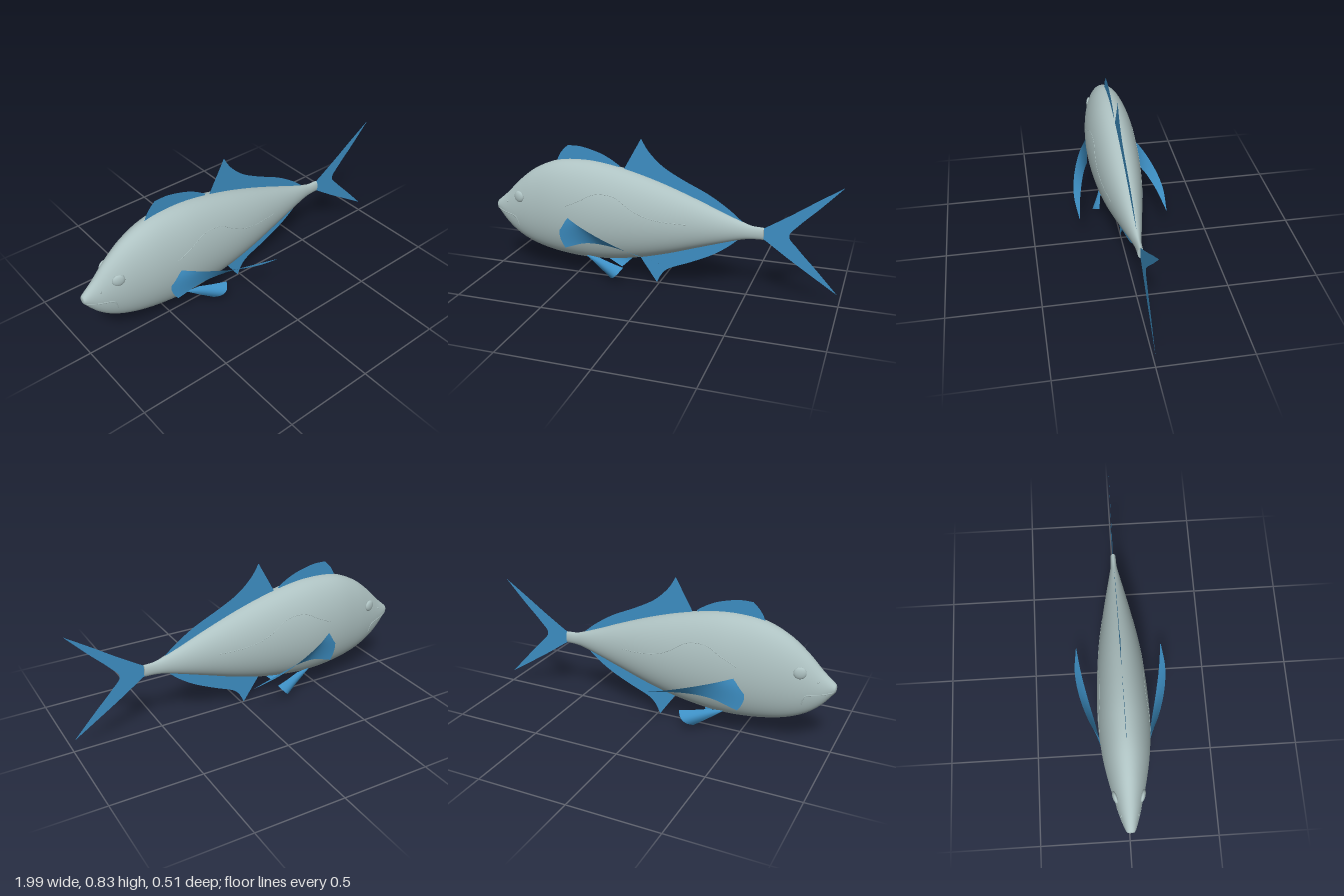
import * as THREE from 'three';

const bodyMat = new THREE.MeshStandardMaterial({ color: 0xaec2c2 });
bodyMat.name = 'silver skin';
const finMat = new THREE.MeshStandardMaterial({ color: 0x3d8fc4, side: THREE.DoubleSide });
finMat.name = 'blue fin';

// Body stations from snout to tail: x, top y, bottom y, half width
const stations = [
  [-1, 0.388, 0.362, 0.012], [-0.99, 0.402, 0.342, 0.024], [-0.925, 0.458, 0.262, 0.047],
  [-0.845, 0.538, 0.2, 0.071], [-0.74, 0.618, 0.155, 0.099], [-0.605, 0.675, 0.126, 0.125],
  [-0.45, 0.69, 0.113, 0.139], [-0.3, 0.677, 0.12, 0.139], [-0.12, 0.637, 0.148, 0.128],
  [0.05, 0.585, 0.192, 0.108], [0.22, 0.522, 0.247, 0.078], [0.36, 0.465, 0.292, 0.05],
  [0.46, 0.427, 0.322, 0.029], [0.52, 0.408, 0.333, 0.018], [0.585, 0.404, 0.336, 0.015],
];
const spline = (pts, type) => new THREE.CatmullRomCurve3(
  pts.map((p) => new THREE.Vector3(...p)), false, type);
const outline = spline(stations.map(([x, t, b]) => [x, t, b]), 'catmullrom');
const widths = spline(stations.map(([x, , , w]) => [x, w, 0]), 'catmullrom');

function section(t) {
  const o = outline.getPoint(t);
  return { x: o.x, cy: (o.y + o.z) / 2, ry: (o.y - o.z) / 2, rz: widths.getPoint(t).y };
}

// Point on the skin for a given x and y, on side s (+1 or -1)
function onSkin(x, y, s, lift = 0) {
  let lo = 0, hi = 1;
  for (let i = 0; i < 30; i++) {
    const mid = (lo + hi) / 2;
    if (section(mid).x < x) lo = mid; else hi = mid;
  }
  const c = section(lo);
  const k = (y - c.cy) / c.ry;
  return new THREE.Vector3(x, y, s * (c.rz * Math.sqrt(Math.max(0, 1 - k * k)) + lift));
}

function add(group, name, geometry, material) {
  const mesh = new THREE.Mesh(geometry, material);
  mesh.name = name;
  group.add(mesh);
  return mesh;
}

// Closed cylinder reshaped into elliptical cross-sections
function bodyGeometry() {
  const g = new THREE.CylinderGeometry(1, 1, 1, 64, 84, false, Math.PI / 2);
  const p = g.attributes.position;
  for (let i = 0; i < p.count; i++) {
    const c = section(p.getY(i) + 0.5);
    p.setXYZ(i, c.x, c.cy - c.ry * p.getX(i), c.rz * p.getZ(i));
  }
  g.computeVertexNormals();
  return g;
}

// Flat fin on the centre plane: smooth runs of points that meet at sharp corners
function flatFin(runs) {
  const shape = new THREE.Shape();
  shape.moveTo(...runs[0][0]);
  runs.forEach((run, i) => {
    const pts = run.map((p) => new THREE.Vector2(...p));
    if (i > 0) shape.lineTo(pts[0].x, pts[0].y);
    if (pts.length === 2) shape.lineTo(pts[1].x, pts[1].y);
    else shape.splineThru(pts.slice(1));
  });
  shape.closePath();
  return new THREE.ShapeGeometry(shape, 8);
}

// Curved fin swept between three rails, on side s
function railFin(rails, s) {
  const curves = rails.map((r) => spline(r, 'centripetal'));
  const g = new THREE.PlaneGeometry(1, 1, 20, 8);
  const p = g.attributes.position;
  for (let i = 0; i < p.count; i++) {
    const u = p.getX(i) + 0.5, v = p.getY(i) + 0.5;
    const [a, b, c] = curves.map((k) => k.getPoint(u));
    a.multiplyScalar((1 - v) * (1 - 2 * v))
      .addScaledVector(b, 4 * v * (1 - v))
      .addScaledVector(c, v * (2 * v - 1));
    p.setXYZ(i, a.x, a.y, s * a.z);
  }
  g.computeVertexNormals();
  return g;
}

const upper = [[-0.5, 0.385, 0.134], [-0.4, 0.358, 0.185], [-0.24, 0.315, 0.235], [-0.08, 0.273, 0.257], [0.08, 0.231, 0.246]];
const lower = [[-0.52, 0.2, 0.127], [-0.38, 0.255, 0.157], [-0.24, 0.27, 0.19], [-0.08, 0.256, 0.222], [0.08, 0.229, 0.244]];
const middle = upper.map((a, i) => a.map((n, k) => (n + lower[i][k]) / 2));
middle[0] = [-0.555, 0.295, 0.122];
const pectoralRails = [upper, middle, lower];
const pelvicRails = [
  [[-0.42, 0.142, 0.06], [-0.34, 0.084, 0.073], [-0.26, 0.03, 0.088]],
  [[-0.39, 0.14, 0.06], [-0.3, 0.105, 0.096], [-0.215, 0.07, 0.137]],
  [[-0.34, 0.135, 0.06], [-0.26, 0.122, 0.083], [-0.18, 0.112, 0.105]],
];
const lateral = [[-0.51, 0.45], [-0.42, 0.492], [-0.36, 0.525], [-0.3, 0.537], [-0.22, 0.525], [-0.14, 0.475],
  [-0.06, 0.435], [0.04, 0.412], [0.18, 0.402]];
const mouth = [[-0.99, 0.358], [-0.94, 0.343], [-0.87, 0.333], [-0.85, 0.315], [-0.84, 0.275]];

// Thin raised line following the skin
function skinLine(points, s, radius) {
  const guide = new THREE.SplineCurve(points.map((p) => new THREE.Vector2(...p)));
  const path = guide.getPoints(40).map((p) => onSkin(p.x, p.y, s, -radius * 0.4));
  return new THREE.TubeGeometry(new THREE.CatmullRomCurve3(path), 60, radius, 6);
}

export function createModel() {
  const fish = new THREE.Group();
  fish.name = 'fish';
  add(fish, 'body', bodyGeometry(), bodyMat);

  // Centre fins, with bases sunk into the body
  add(fish, 'firstDorsalFin', flatFin([
    [[-0.61, 0.64], [-0.605, 0.68], [-0.58, 0.725], [-0.54, 0.765]],
    [[-0.54, 0.765], [-0.46, 0.764], [-0.36, 0.74], [-0.29, 0.71], [-0.23, 0.672]],
    [[-0.23, 0.672], [-0.25, 0.63]],
  ]), finMat);
  add(fish, 'secondDorsalFin', flatFin([
    [[-0.215, 0.64], [-0.105, 0.836]],
    [[-0.105, 0.836], [-0.06, 0.765], [0.02, 0.69], [0.13, 0.628], [0.28, 0.557], [0.39, 0.487], [0.47, 0.422]],
    [[0.47, 0.422], [0.44, 0.41]],
  ]), finMat);
  add(fish, 'analFin', flatFin([
    [[-0.13, 0.17], [-0.015, 0.003]],
    [[-0.015, 0.003], [0.015, 0.06], [0.06, 0.1], [0.17, 0.147], [0.29, 0.204], [0.38, 0.262], [0.45, 0.322]],
    [[0.45, 0.322], [0.42, 0.335]],
  ]), finMat);
  add(fish, 'tailFin', flatFin([
    [[0.57, 0.4], [0.59, 0.405], [0.72, 0.487], [0.85, 0.575], [0.99, 0.667]],
    [[0.99, 0.667], [0.87, 0.54], [0.77, 0.44], [0.72, 0.372], [0.77, 0.305], [0.87, 0.2], [0.99, 0.07]],
    [[0.99, 0.07], [0.85, 0.16], [0.72, 0.245], [0.59, 0.335], [0.57, 0.34]],
  ]), finMat);

  // Paired parts
  for (const s of [1, -1]) {
    const side = new THREE.Group();
    side.name = s > 0 ? 'frontSideParts' : 'backSideParts';
    add(side, 'pectoralFin', railFin(pectoralRails, s), finMat);
    add(side, 'pelvicFin', railFin(pelvicRails, s), finMat);
    add(side, 'lateralLine', skinLine(lateral, s, 0.002), bodyMat);
    add(side, 'mouthLine', skinLine(mouth, s, 0.004), bodyMat);

    const eye = add(side, 'eye', new THREE.SphereGeometry(0.033, 32, 20), bodyMat);
    eye.scale.z = 0.4;
    eye.position.copy(onSkin(-0.825, 0.455, s, 0.003));
    eye.rotation.y = -s * 0.28;

    const nostril = add(side, 'nostril', new THREE.SphereGeometry(0.005, 12, 8), bodyMat);
    nostril.position.copy(onSkin(-0.915, 0.41, s));
    fish.add(side);
  }
  return fish;
}
